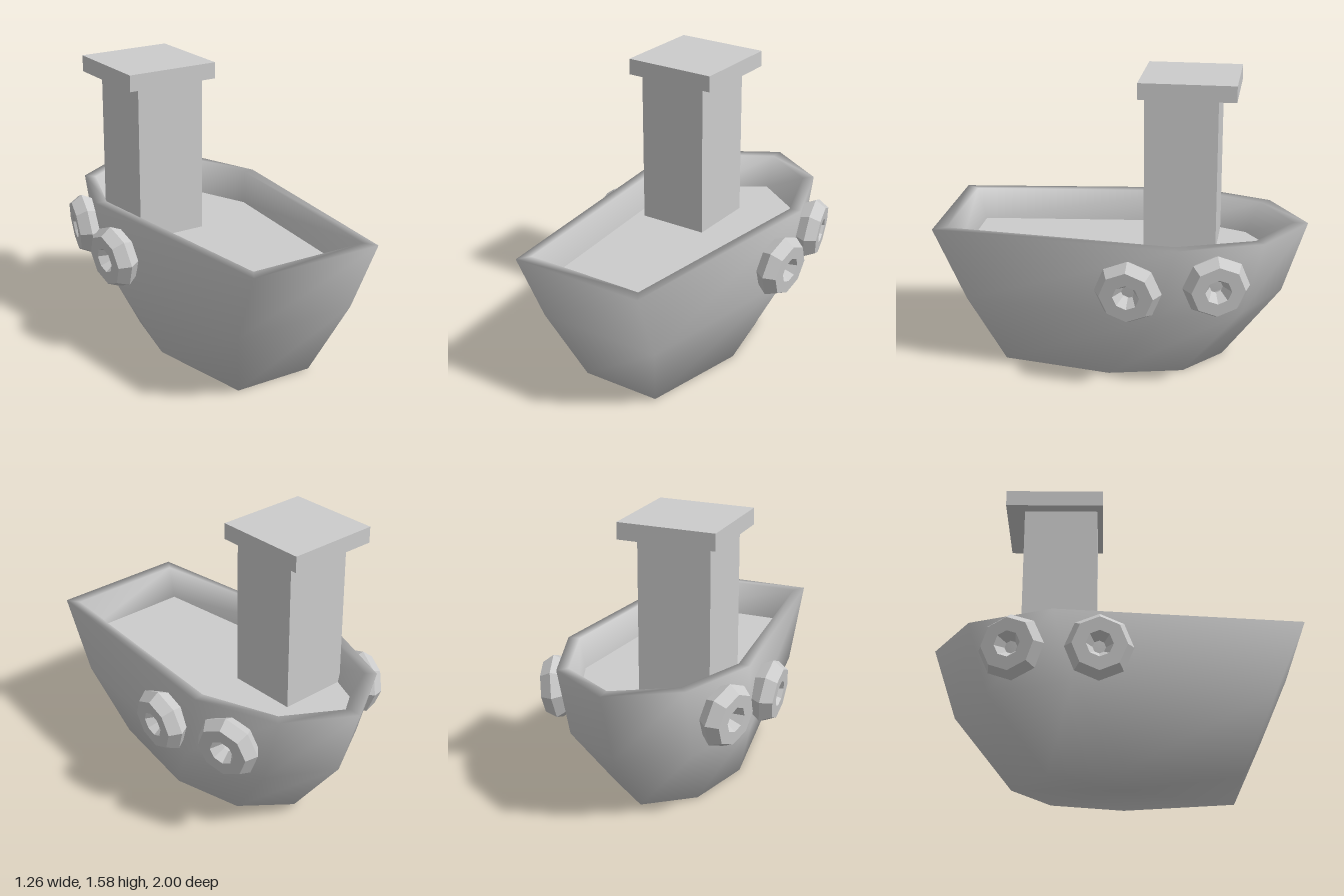
import * as THREE from 'three';

const grey = new THREE.MeshStandardMaterial({ color: 0xcccccc });
const faceted = new THREE.MeshStandardMaterial({ color: 0xcccccc, flatShading: true });

// Half outlines run from the stern point, along +x, to the bow corner.
const sections = [
  { y: 0, half: [[0, -0.55], [0.25, -0.35], [0.34, 0.05], [0.23, 0.65]] },       // keel
  { y: 0.41, half: [[0, -0.87], [0.35, -0.67], [0.5, -0.22], [0.36, 0.83]] },    // chine
  { y: 0.81, half: [[0, -1], [0.36, -0.78], [0.53, -0.33], [0.385, 1]] },        // outer rim
  { y: 0.81, half: [[0, -0.92], [0.315, -0.73], [0.465, -0.32], [0.34, 0.93]] }, // inner rim
  { y: 0.63, half: [[0, -0.855], [0.3, -0.65], [0.445, -0.3], [0.33, 0.88]] },   // deck edge
];

// Mirrors a half outline into a closed ring of points
function ring({ y, half }) {
  const mirrored = half.slice(1).reverse().map(([x, z]) => [-x, z]);
  return [...half, ...mirrored].map(([x, z]) => [x, y, z]);
}

function indexedGeometry(points, index) {
  const g = new THREE.BufferGeometry();
  g.setAttribute('position', new THREE.Float32BufferAttribute(points.flat(), 3));
  g.setIndex(index);
  g.computeVertexNormals();
  return g;
}

// Smooth shell: closed bottom, flared sides, rim and inner bulwark
function hullGeometry() {
  const rings = sections.map(ring);
  const n = rings[0].length;
  const points = rings.flat();
  const index = [];
  for (let r = 0; r < rings.length - 1; r++) {
    for (let i = 0; i < n; i++) {
      const j = (i + 1) % n;
      const a = r * n + i, b = r * n + j, c = a + n, d = b + n;
      index.push(a, c, b, b, c, d);
    }
  }
  const centre = points.push([0, 0, 0.05]) - 1;
  for (let i = 0; i < n; i++) index.push(centre, i, (i + 1) % n);
  return indexedGeometry(points, index);
}

function deckGeometry() {
  const points = ring(sections[4]);
  const n = points.length;
  const index = [];
  const centre = points.push([0, sections[4].y, 0]) - 1;
  for (let i = 0; i < n; i++) index.push(centre, (i + 1) % n, i);
  return indexedGeometry(points, index);
}

export function createModel() {
  const model = new THREE.Group();
  model.name = 'boat';

  function add(name, geometry, material, x = 0, y = 0, z = 0) {
    const mesh = new THREE.Mesh(geometry, material);
    mesh.name = name;
    mesh.position.set(x, y, z);
    model.add(mesh);
    return mesh;
  }

  add('hull', hullGeometry(), grey);
  add('deck', deckGeometry(), grey);

  // Off-centre cabin with an overhanging roof
  add('cabin', new THREE.BoxGeometry(0.4, 0.86, 0.4), grey, -0.175, 1.06, -0.3);
  add('cabinRoof', new THREE.BoxGeometry(0.53, 0.09, 0.53), grey, -0.175, 1.535, -0.335);

  // Tyre fenders, two on each side, leaning with the hull
  const tyre = new THREE.TorusGeometry(0.107, 0.0725, 6, 8);
  const fenders = [
    { name: 'foreFender', x: 0.552, y: 0.58, z: -0.085, yaw: Math.PI / 2 - 0.05 },
    { name: 'aftFender', x: 0.485, y: 0.61, z: -0.54, yaw: Math.PI / 2 + 0.28 },
  ];
  for (const f of fenders) {
    for (const side of [1, -1]) {
      const name = f.name + (side > 0 ? 'Left' : 'Right');
      const mesh = add(name, tyre, faceted, side * f.x, f.y, f.z);
      mesh.rotation.set(0.12, side * f.yaw, 0, 'YXZ');
    }
  }
  return model;
}
